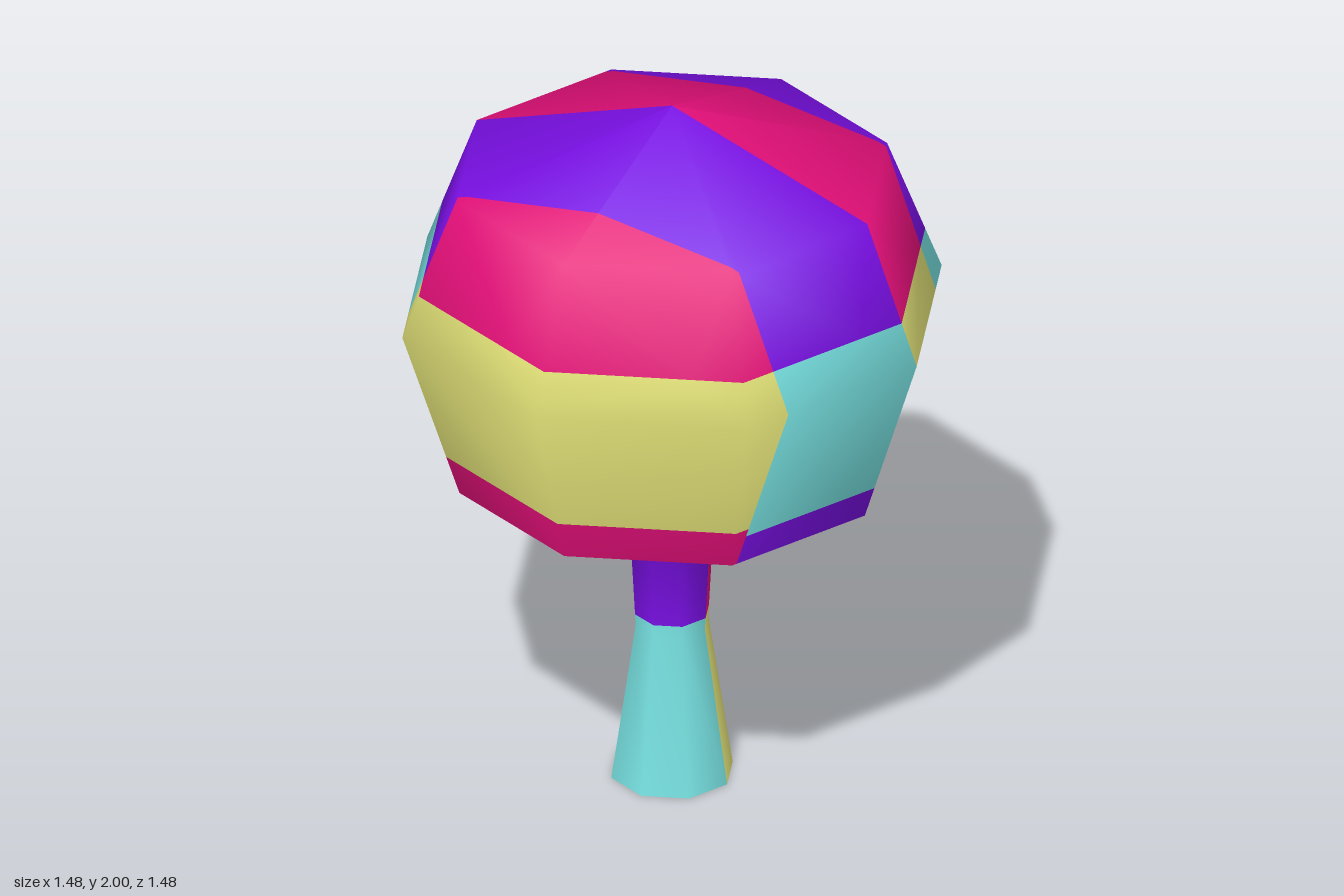
import * as THREE from 'three';

const SIDES = 8;
const mat = (name, color) => {
  const m = new THREE.MeshStandardMaterial({ color, side: THREE.DoubleSide });
  m.name = name;
  return m;
};

// Keep the part of a polygon on one side of a plane (axis = level)
function clip(poly, axis, level, sign) {
  const out = [];
  poly.forEach((a, i) => {
    const b = poly[(i + 1) % poly.length];
    const da = (a.p[axis] - level) * sign, db = (b.p[axis] - level) * sign;
    if (da >= 0) out.push(a);
    if (da * db < 0) {
      const t = da / (da - db);
      out.push({ p: a.p.clone().lerp(b.p, t), n: a.n.clone().lerp(b.n, t).normalize() });
    }
  });
  return out;
}

// Cut a list of polygons into slabs between the given levels
function slab(polys, axis, lo, hi) {
  return polys
    .map((q) => clip(clip(q, axis, lo, 1), axis, hi, -1))
    .filter((q) => q.length > 2);
}

// Eight-sided turned part, cut into colour patches by depth and height
function patchedLathe(name, profile, mats) {
  const src = new THREE.LatheGeometry(profile.map(([r, y]) => new THREE.Vector2(r, y)), SIDES).toNonIndexed();
  const P = src.attributes.position, N = src.attributes.normal;
  const tris = [];
  for (let i = 0; i < P.count; i += 3) {
    tris.push([0, 1, 2].map((k) => ({
      p: new THREE.Vector3().fromBufferAttribute(P, i + k),
      n: new THREE.Vector3().fromBufferAttribute(N, i + k),
    })));
  }

  const buckets = [[], [], [], []];
  for (let band = -2; band < 2; band++) {
    const warm = band % 2 !== 0;
    const strip = slab(tris, 'z', band * 0.4, (band + 1) * 0.4);
    const levels = [-1, 0.483, warm ? 1.034 : 1.01, 1.528, 3];
    for (let j = 0; j < 4; j++) {
      buckets[(warm ? 2 : 0) + (j % 2)].push(...slab(strip, 'y', levels[j], levels[j + 1]));
    }
  }

  const pos = [], nor = [];
  const geo = new THREE.BufferGeometry();
  buckets.forEach((polys, m) => {
    const start = pos.length / 3;
    for (const q of polys) {
      for (let k = 1; k < q.length - 1; k++) {
        const tri = [q[0], q[k], q[k + 1]];
        const area = tri[1].p.clone().sub(tri[0].p).cross(tri[2].p.clone().sub(tri[0].p)).length();
        if (area < 1e-9) continue;
        for (const v of tri) {
          pos.push(...v.p.toArray());
          nor.push(...v.n.toArray());
        }
      }
    }
    geo.addGroup(start, pos.length / 3 - start, m);
  });
  geo.setAttribute('position', new THREE.Float32BufferAttribute(pos, 3));
  geo.setAttribute('normal', new THREE.Float32BufferAttribute(nor, 3));
  const mesh = new THREE.Mesh(geo, mats);
  mesh.name = name;
  return mesh;
}

export function createModel() {
  const mats = [
    mat('cyan', 0x78e2e2),
    mat('purple', 0x780fe2),
    mat('yellow', 0xe2e278),
    mat('pink', 0xe20f78),
  ];
  const group = new THREE.Group();
  group.name = 'mushroom';
  group.add(
    // Stem: open foot, narrow waist, flaring up into the cap
    patchedLathe('stem', [[0.167, 0], [0.1, 0.45], [0.117, 0.77], [0.36, 1.145]], mats),
    // Hollow underside, from the stem out to the rim
    patchedLathe('capUnderside', [[0.36, 1.145], [0.585, 0.92]], mats),
    // Domed cap
    patchedLathe('cap', [[0.585, 0.92], [0.742, 1.41], [0.592, 1.8], [0, 2]], mats),
  );
  return group;
}
